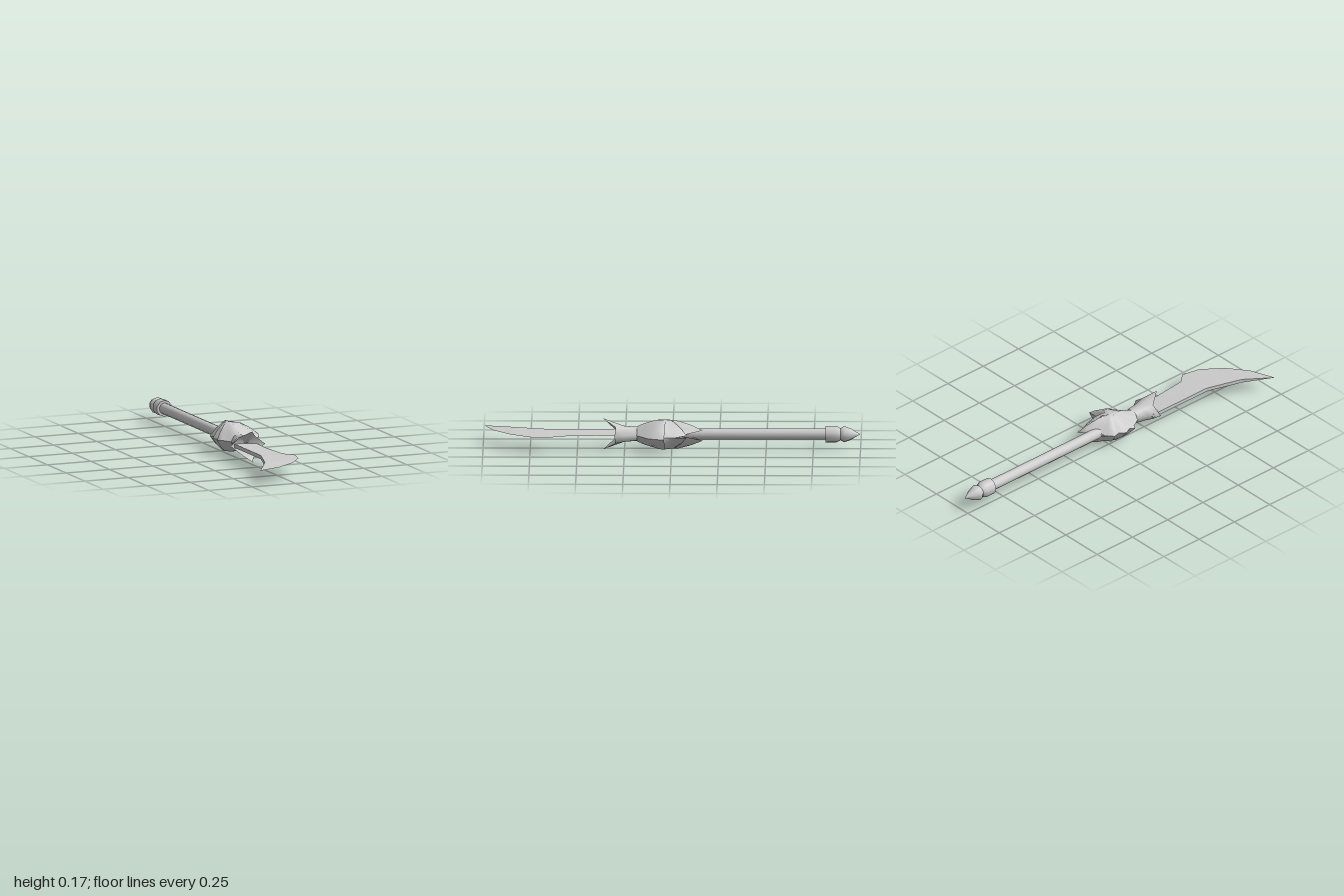
import * as THREE from 'three';

const AXIS_X = 0.025, AXIS_Y = 0.085;

function material(flatShading = false) {
  return new THREE.MeshStandardMaterial({ color: 0xcccccc, flatShading, side: THREE.DoubleSide });
}

// Skin a surface over rows of points; each row is a closed loop.
function loft(rows, flip = false) {
  const n = rows[0].length, index = [];
  for (let i = 0; i < rows.length - 1; i++) {
    for (let j = 0; j < n; j++) {
      const k = (j + 1) % n;
      const a = i * n + j, b = a + n, c = (i + 1) * n + k, d = i * n + k;
      if (flip) index.push(a, c, b, a, d, c);
      else index.push(a, b, c, a, c, d);
    }
  }
  const geometry = new THREE.BufferGeometry();
  geometry.setAttribute('position', new THREE.Float32BufferAttribute(rows.flat(2), 3));
  geometry.setIndex(index);
  geometry.computeVertexNormals();
  return geometry;
}

// Turned part along the shaft: profile of [radius, distance towards the back].
function turned(profile, sides) {
  const points = profile.map(([r, d]) => new THREE.Vector2(r, d));
  return new THREE.LatheGeometry(points, sides).rotateX(-Math.PI / 2).translate(AXIS_X, AXIS_Y, 0);
}

// Wedge blade: thick spine on one side, sharp edge on the other.
function bladeGeometry() {
  // spine x, spine z, edge x, edge z, half thickness of spine
  const stations = [
    [-0.05, 0.27, 0.085, 0.27, 0.01],
    [-0.05, 0.4, 0.08, 0.4, 0.01],
    [-0.05, 0.6, 0.10, 0.6, 0.01],
    [-0.05, 0.65, 0.145, 0.65, 0.01],
    [-0.08, 0.75, 0.125, 0.75, 0.01],
    [-0.11, 0.845, 0.045, 0.86, 0.01],
    [-0.155, 0.92, -0.065, 0.945, 0.005],
    [-0.203, 0.998, -0.203, 0.998, 0],
  ];
  return loft(stations.map(([sx, sz, ex, ez, h]) => [
    [ex, AXIS_Y, ez], [sx, AXIS_Y + h, sz], [sx, AXIS_Y - h, sz],
  ]), true);
}

// Collar loops: eight points alternating between spikes and valleys.
function collarRing(sideR, sideZ, tallR, tallZ, valleyR, valleyZ) {
  const ring = [];
  for (let j = 0; j < 8; j++) {
    const angle = j * Math.PI / 4;
    const [r, z] = j % 2 ? [valleyR, valleyZ] : j % 4 ? [tallR, tallZ] : [sideR, sideZ];
    ring.push([AXIS_X + r * Math.cos(angle), AXIS_Y + r * Math.sin(angle), z]);
  }
  return ring;
}

// Half of the flame-shaped guard, domed up (side 1) or down (side -1).
function guardShell(side) {
  const outline = [
    [0.025, 0.195], [0.07, 0.19], [0.165, 0.125], [0.202, 0.04], [0.14, 0.045],
    [0.14, -0.015], [0.11, -0.08], [0.08, -0.045], [0.07, -0.165], [0.04, -0.1],
    [-0.03, -0.035], [-0.06, -0.01], [-0.05, 0.025], [-0.075, 0.06], [-0.055, 0.1],
    [-0.075, 0.12], [-0.05, 0.135], [-0.02, 0.19],
  ];
  const centre = [0.03, 0.03];
  const rings = [[0, 1], [0.35, 0.94], [0.7, 0.52], [1, 0]]; // spread, dome height
  const rows = rings.map(([t, f]) => outline.map(([x, z], j) => {
    // the rim lifts off the shaft towards the rear spikes
    const rim = j === 0 ? 0.036 : Math.max(0, -0.055 - z) * 0.25;
    const y = rim + (0.077 - rim) * f;
    return [
      THREE.MathUtils.lerp(centre[0], x, t),
      AXIS_Y + side * y,
      THREE.MathUtils.lerp(centre[1], z, t),
    ];
  }));
  return loft(rows, side < 0);
}

export function createModel() {
  const model = new THREE.Group();
  const add = (name, geometry, flat) => {
    const mesh = new THREE.Mesh(geometry, material(flat));
    mesh.name = name;
    model.add(mesh);
  };

  // Shaft and pommel
  add('handle', turned([[0.03, -0.2], [0.03, 0.83]], 12));
  add('pommelBand', turned([[0, 0.815], [0.044, 0.815], [0.044, 0.815], [0.045, 0.87], [0.032, 0.895]], 10));
  add('pommelSpike', turned([[0.032, 0.895], [0.044, 0.912], [0.03, 0.95], [0, 0.998]], 10));

  // Guard
  add('upperGuard', guardShell(1));
  add('lowerGuard', guardShell(-1));

  // Spiked collar with a hollow mouth
  const mouth = collarRing(0.1, 0.303, 0.083, 0.363, 0.062, 0.297);
  add('collar', loft([
    collarRing(0.046, 0.185, 0.038, 0.185, 0.042, 0.185),
    collarRing(0.062, 0.25, 0.042, 0.25, 0.05, 0.245),
    mouth,
  ], true));
  add('collarMouth', loft([mouth, collarRing(0, 0.275, 0, 0.275, 0, 0.275)], true));

  add('blade', bladeGeometry(), true);
  return model;
}
